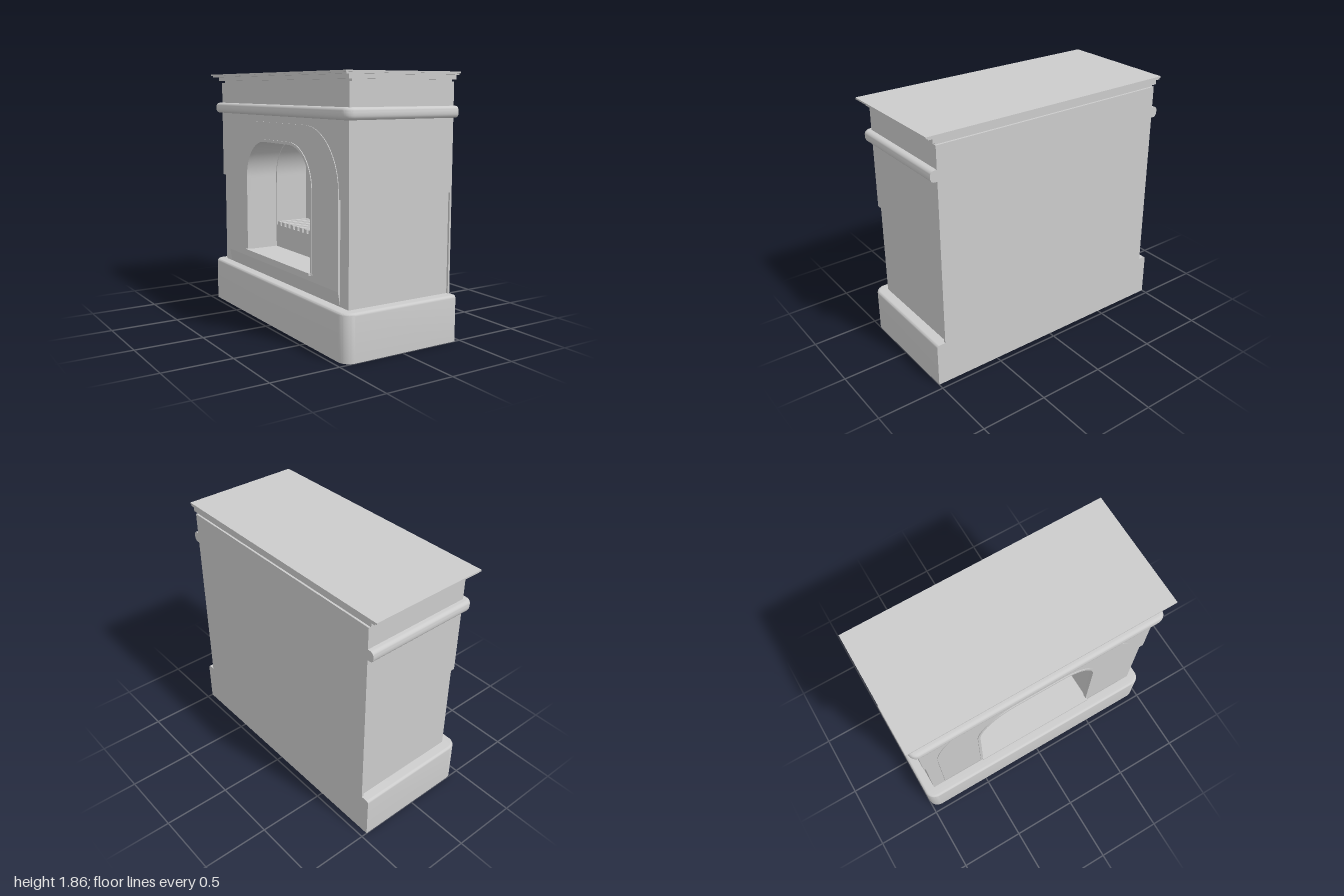
import * as THREE from 'three';
import { toCreasedNormals } from 'three/addons/utils/BufferGeometryUtils.js';

const BACK = 0.455; // plane of the flat wall side; the hearth opens toward -x

export function createModel() {
  const group = new THREE.Group();
  const material = new THREE.MeshStandardMaterial({ color: 0xcccccc });

  function add(name, geometry) {
    const mesh = new THREE.Mesh(geometry, material);
    mesh.name = name;
    group.add(mesh);
    return mesh;
  }

  function box(name, x0, x1, y0, y1, z0, z1) {
    const g = new THREE.BoxGeometry(x1 - x0, y1 - y0, z1 - z0);
    g.translate((x0 + x1) / 2, (y0 + y1) / 2, (z0 + z1) / 2);
    return add(name, g);
  }

  // Extrude a shape drawn in (z, y) from x1 out to x0
  function slice(name, shape, x0, x1) {
    const g = new THREE.ExtrudeGeometry(shape, { depth: x1 - x0, bevelEnabled: false, curveSegments: 16 });
    g.rotateY(-Math.PI / 2);
    g.translate(x1, 0, 0);
    return add(name, toCreasedNormals(g, 0.5));
  }

  // Horizontal slab: rounded front corners and edges, cut flat at the back
  function slab(name, front, half, y0, y1, radius, bevel, flatBottom) {
    const end = BACK + 0.1, bottom = flatBottom ? y0 - bevel : y0;
    const s = new THREE.Shape();
    s.moveTo(end, -half);
    s.lineTo(end, half);
    s.lineTo(front + radius, half);
    s.absarc(front + radius, half - radius, radius, Math.PI / 2, Math.PI, false);
    s.absarc(front + radius, -half + radius, radius, Math.PI, Math.PI * 1.5, false);
    const g = new THREE.ExtrudeGeometry(s, {
      depth: y1 - bottom - 2 * bevel, bevelThickness: bevel, bevelSize: bevel,
      bevelOffset: -bevel, bevelSegments: 5, curveSegments: 8,
    });
    g.rotateX(-Math.PI / 2);
    g.translate(0, bottom + bevel, 0);
    const p = g.attributes.position;
    for (let i = 0; i < p.count; i++) {
      p.setX(i, Math.min(p.getX(i), BACK));
      p.setY(i, Math.max(p.getY(i), y0));
    }
    return add(name, toCreasedNormals(g, 0.6));
  }

  // Arch outline: straight sides, large rounded shoulders, flat crown
  function archPath(path, half, y0, spring, radius) {
    path.moveTo(-half, y0);
    path.lineTo(half, y0);
    path.lineTo(half, spring);
    path.absarc(half - radius, spring, radius, 0, Math.PI / 2, false);
    path.absarc(-half + radius, spring, radius, Math.PI / 2, Math.PI, false);
    path.lineTo(-half, y0);
    return path;
  }

  const SPLIT = 1.04, TOP = 1.79, SPRING = 1.06, OPEN = 0.485, SILL = 0.485;

  // Lower body section around the opening
  function lowerShape(open, floor) {
    return new THREE.Shape([
      [-0.92, 0.3], [0.92, 0.3], [0.92, SPLIT], [open, SPLIT],
      [open, floor], [-open, floor], [-open, SPLIT], [-0.92, SPLIT],
    ].map(([z, y]) => new THREE.Vector2(z, y)));
  }

  // Upper body section, arched underneath
  function upperShape(open) {
    const s = new THREE.Shape(), r = 0.3;
    s.moveTo(-0.935, SPLIT);
    s.lineTo(-open, SPLIT);
    s.lineTo(-open, SPRING);
    s.absarc(-open + r, SPRING, r, Math.PI, Math.PI / 2, true);
    s.absarc(open - r, SPRING, r, Math.PI / 2, 0, true);
    s.lineTo(open, SPLIT);
    s.lineTo(0.935, SPLIT);
    s.lineTo(0.935, TOP);
    s.lineTo(-0.935, TOP);
    return s;
  }

  // Plinth
  slab('base', -0.46, 1, 0, 0.33, 0.08, 0.02, true);

  // Body: reveal, firebox and solid back
  slice('lowerFront', lowerShape(OPEN, SILL), -0.38, -0.14);
  slice('lowerFirebox', lowerShape(0.475, 0.66), -0.14, 0.13);
  box('lowerBack', 0.13, 0.44, 0.3, SPLIT, -0.92, 0.92);
  slice('upperFront', upperShape(OPEN), -0.392, -0.14);
  slice('upperFirebox', upperShape(0.475), -0.14, 0.13);
  box('upperBack', 0.13, BACK, SPLIT, TOP, -0.935, 0.935);
  box('backPlate', 0.44, BACK, 0.3, SPLIT, -0.935, 0.935);

  // Raised arched panel framing the opening
  const panel = archPath(new THREE.Shape(), 0.82, 0.43, 1.08, 0.42);
  panel.holes.push(archPath(new THREE.Path(), OPEN, SILL, SPRING, 0.3));
  slice('archPanel', panel, -0.397, -0.37);

  // Sloping skirt under the panel
  const skirt = new THREE.Shape();
  skirt.moveTo(-0.36, 0.32);
  skirt.lineTo(-0.36, 0.43);
  skirt.lineTo(-0.397, 0.43);
  skirt.lineTo(-0.378, 0.32);
  const skirtGeometry = new THREE.ExtrudeGeometry(skirt, { depth: 1.64, bevelEnabled: false });
  skirtGeometry.translate(0, 0, -0.82);
  add('panelSkirt', skirtGeometry);

  // Thin rim and sill of the opening
  const rim = archPath(new THREE.Shape(), OPEN + 0.012, SILL - 0.01, SPRING, 0.312);
  rim.holes.push(archPath(new THREE.Path(), OPEN - 0.008, SILL + 0.005, SPRING, 0.292));
  slice('openingRim', rim, -0.403, -0.37);
  box('sill', -0.42, -0.37, 0.472, 0.49, -OPEN, OPEN);

  // Grate bars on the raised hearth
  const bars = 14;
  for (let i = 0; i < bars; i++) {
    const z = -0.44 + (0.88 * i) / (bars - 1);
    box('grateBar', -0.14, 0.13, 0.655, 0.69, z - 0.019, z + 0.019);
  }

  // Rounded mantel moulding
  slab('mantelMoulding', -0.445, 0.985, 1.55, 1.63, 0.06, 0.03, false);

  // Cornice
  box('corniceNeck', -0.37, 0.44, TOP, 1.806, -0.93, 0.93);
  box('corniceLower', -0.41, BACK, 1.805, 1.836, -0.955, 0.955);
  box('corniceMiddle', -0.448, BACK, 1.835, 1.846, -0.987, 0.987);
  box('topSlab', -0.46, BACK, 1.845, 1.857, -1, 1);

  return group;
}
